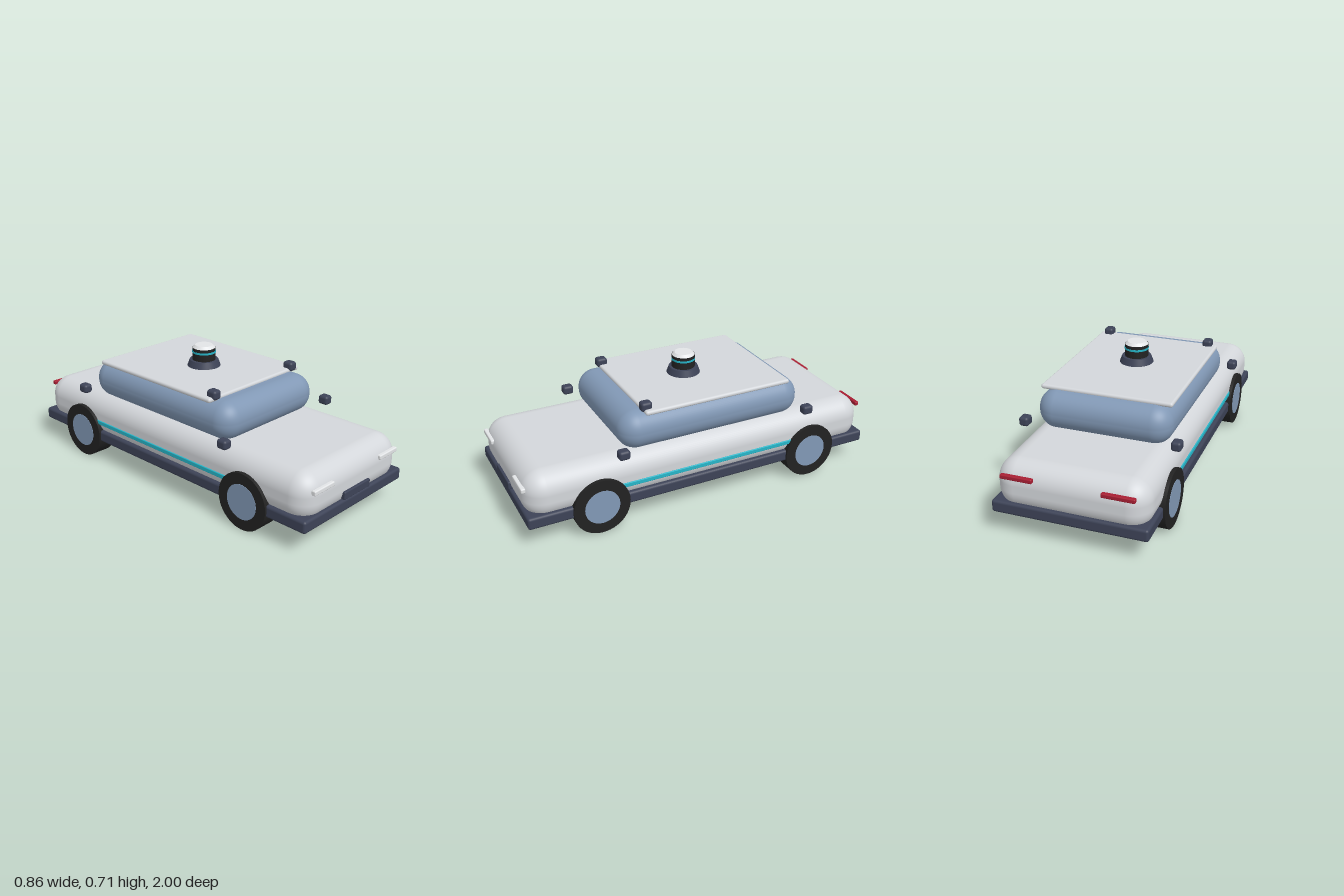
import * as THREE from 'three';
import { RoundedBoxGeometry } from 'three/addons/geometries/RoundedBoxGeometry.js';

const mat = (name, color) => {
  const m = new THREE.MeshStandardMaterial({ color });
  m.name = name;
  return m;
};

export function createModel() {
  const paint = mat('silver paint', 0xd3d6da);
  const glass = mat('blue glass', 0x8198b5);
  const trim = mat('dark trim', 0x3d4357);
  const rubber = mat('black rubber', 0x222222);
  const teal = mat('teal accent', 0x26b5c8);
  const red = mat('red lens', 0xa81e33);
  const lamp = mat('white lens', 0xe2e4e6);

  const car = new THREE.Group();
  car.name = 'car';

  const add = (name, geometry, material, x, y, z) => {
    const mesh = new THREE.Mesh(geometry, material);
    mesh.name = name;
    mesh.position.set(x, y, z);
    car.add(mesh);
    return mesh;
  };
  const box = (name, material, [w, h, d], r, [x, y, z], segments = 4) =>
    add(name, new RoundedBoxGeometry(w, h, d, segments, r), material, x, y, z);

  // Main shell: body, cabin, roof panel and lower skirt
  box('body', paint, [0.78, 0.26, 1.974], 0.11, [0, 0.26, 0], 8);
  box('cabin', glass, [0.712, 0.21, 1.05], 0.1, [0, 0.473, -0.062], 8);
  box('roofPanel', paint, [0.698, 0.025, 0.84], 0.012, [0, 0.581, -0.085]);
  box('skirt', trim, [0.796, 0.065, 1.984], 0.014, [0, 0.1525, 0]);

  // Front plate
  box('frontPlate', trim, [0.21, 0.042, 0.024], 0.006, [0, 0.211, 0.988]);

  for (const [side, s] of [['left', 1], ['right', -1]]) {
    // Lights and side stripe
    box(side + 'Headlight', lamp, [0.15, 0.025, 0.024], 0.006, [s * 0.262, 0.311, 0.984]);
    box(side + 'TailLight', red, [0.166, 0.023, 0.024], 0.006, [s * 0.254, 0.329, -0.988]);
    box(side + 'Stripe', teal, [0.012, 0.024, 1.06], 0.004, [s * 0.39, 0.233, -0.01]);

    // Small camera pods on the roof and beside the cabin
    const pod = [0.052, 0.05, 0.06];
    box(side + 'RoofCamera', trim, pod, 0.015, [s * 0.296, 0.602, 0.316]);
    box(side + 'FrontCamera', trim, pod, 0.015, [s * 0.402, 0.422, 0.486]);
    box(side + 'RearCamera', trim, pod, 0.015, [s * 0.402, 0.422, -0.588]);

    // Wheels with hubs showing on both faces
    for (const [end, z] of [['Front', 0.61], ['Rear', -0.63]]) {
      const tyre = new THREE.CylinderGeometry(0.152, 0.152, 0.108, 48).rotateZ(Math.PI / 2);
      const hub = new THREE.CylinderGeometry(0.094, 0.094, 0.112, 40).rotateZ(Math.PI / 2);
      add(side + end + 'Tyre', tyre, rubber, s * 0.354, 0.152, z);
      add(side + end + 'Hub', hub, glass, s * 0.354, 0.152, z);
    }
  }

  // Roof sensor turret, stacked upwards: name, material, top radius, bottom radius, y from, y to
  const stack = [
    ['sensorBase', trim, 0.078, 0.092, 0.59, 0.628],
    ['sensorDrum', rubber, 0.063, 0.063, 0.625, 0.695],
    ['sensorBand', teal, 0.0645, 0.0645, 0.667, 0.678],
    ['sensorCap', lamp, 0.048, 0.062, 0.695, 0.709],
  ];
  for (const [name, material, top, bottom, y0, y1] of stack) {
    add(name, new THREE.CylinderGeometry(top, bottom, y1 - y0, 40), material, 0, (y0 + y1) / 2, -0.045);
  }

  return car;
}
